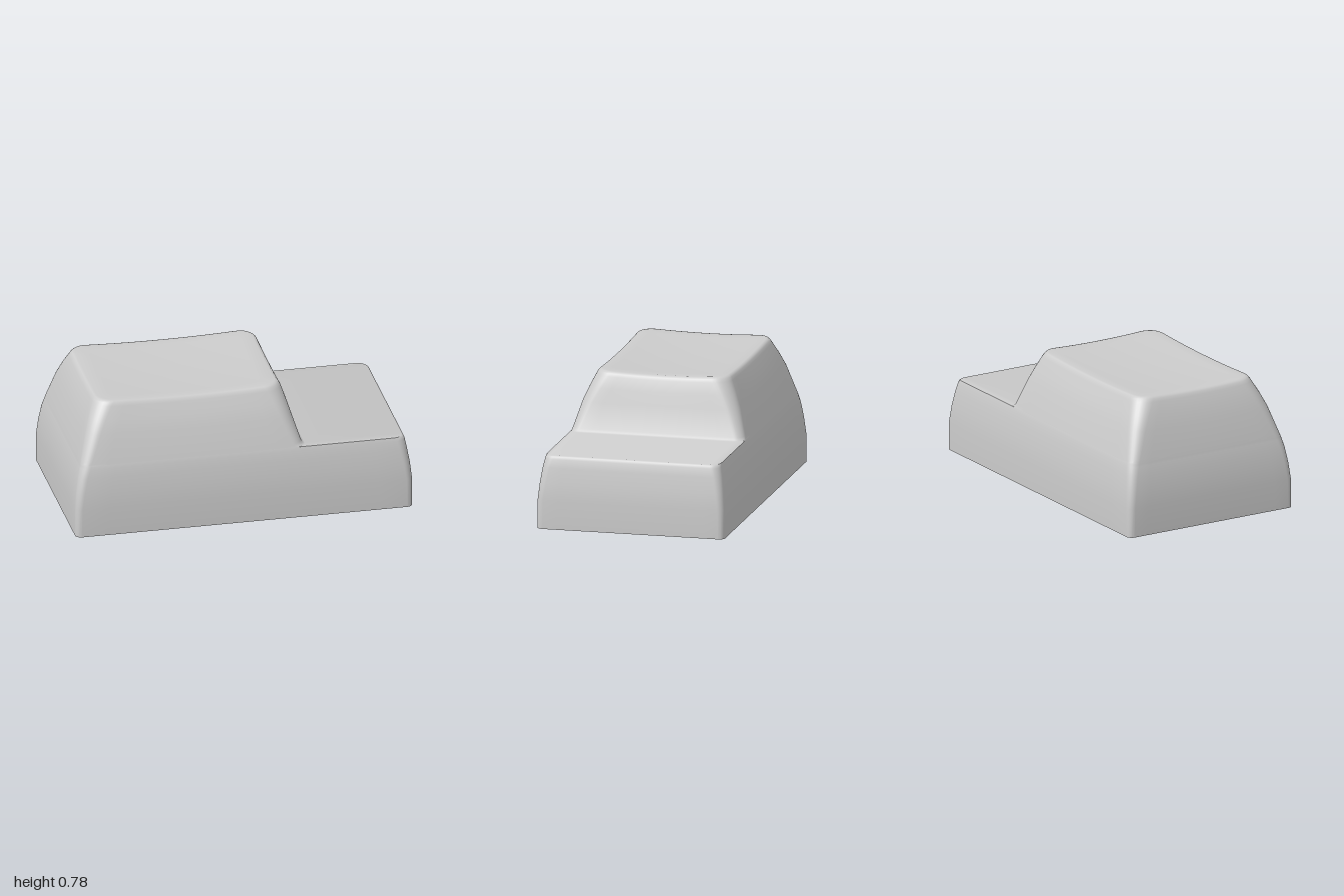
import * as THREE from 'three';
import { toCreasedNormals } from 'three/addons/utils/BufferGeometryUtils.js';

const SHELF_Y = 0.43, TOP_Y = 0.78, TOP_X = -0.293;
const ARC = 8, SIDE = 12; // segments per corner and per straight side

// Horizontal cross-sections: height, left x, right x, half depth, corner radius
const SECTIONS = [
  [0, -1, 1, 0.56, 0.035],
  [0.17, -1, 1, 0.56, 0.04],
  [0.27, -0.99, 0.99, 0.55, 0.045],
  [0.36, -0.975, 0.975, 0.537, 0.05],
  [0.41, -0.962, 0.966, 0.526, 0.055],
  [0.424, -0.958, 0.96, 0.522, 0.055],
  [SHELF_Y, -0.957, 0.95, 0.52, 0.055], // outer edge of the shelf
  [SHELF_Y, -0.957, 0.375, 0.52, 0.055], // foot of the raised block
  [0.437, -0.955, 0.362, 0.518, 0.056],
  [0.45, -0.952, 0.355, 0.514, 0.058],
  [0.6, -0.91, 0.31, 0.47, 0.075],
  [0.68, -0.882, 0.287, 0.437, 0.085],
  [0.75, -0.852, 0.265, 0.405, 0.095],
  [0.767, -0.843, 0.257, 0.397, 0.097],
  [0.777, -0.833, 0.247, 0.388, 0.095],
  [TOP_Y, -0.82, 0.235, 0.375, 0.09],
];

// The top is dished in both directions; the sag fades out down the sides
function sag(x, y, z) {
  const t = THREE.MathUtils.clamp((y - SHELF_Y) / (TOP_Y - SHELF_Y), 0, 1);
  const u = Math.min(1, Math.abs(x - TOP_X) / 0.53);
  const v = Math.min(1, Math.abs(z) / 0.375);
  return t * t * (0.015 * (1 - u * u) + 0.012 * (1 - v * v));
}

// Rounded rectangle at one height, shrunk about its centre for the caps
function ring([y, left, right, hz, r], scale = 1) {
  const cx = (left + right) / 2, hx = (right - left) / 2;
  const signs = [[1, 1], [-1, 1], [-1, -1], [1, -1]];
  const outline = [];
  signs.forEach(([sx, sz], k) => {
    for (let i = 0; i <= ARC; i++) {
      const a = (k + i / ARC) * Math.PI / 2;
      outline.push(new THREE.Vector2(sx * (hx - r) + r * Math.cos(a), sz * (hz - r) + r * Math.sin(a)));
    }
    const [nx, nz] = signs[(k + 1) % 4];
    const a = (k + 1) * Math.PI / 2;
    const from = outline[outline.length - 1];
    const to = new THREE.Vector2(nx * (hx - r) + r * Math.cos(a), nz * (hz - r) + r * Math.sin(a));
    for (let i = 1; i < SIDE; i++) outline.push(from.clone().lerp(to, i / SIDE));
  });
  return outline.map((p) => {
    const x = cx + p.x * scale, z = p.y * scale;
    return new THREE.Vector3(x, y - sag(x, y, z), z);
  });
}

// Skin a stack of rings, dropping triangles without area
function loft(rings) {
  const pos = [];
  const tri = (a, b, c) => {
    const n = b.clone().sub(a).cross(c.clone().sub(a));
    if (n.length() > 1e-8) pos.push(...a.toArray(), ...b.toArray(), ...c.toArray());
  };
  for (let j = 0; j < rings.length - 1; j++) {
    const lo = rings[j], hi = rings[j + 1];
    for (let i = 0; i < lo.length; i++) {
      const n = (i + 1) % lo.length;
      tri(lo[i], hi[i], lo[n]);
      tri(lo[n], hi[i], hi[n]);
    }
  }
  const g = new THREE.BufferGeometry();
  g.setAttribute('position', new THREE.Float32BufferAttribute(pos, 3));
  return toCreasedNormals(g, 0.65);
}

export function createModel() {
  const group = new THREE.Group();
  group.name = 'steppedKeycap';

  // Flat underside, curved walls, shelf, raised block and dished top in one skin
  const last = SECTIONS[SECTIONS.length - 1];
  const rings = [
    ring(SECTIONS[0], 0),
    ...SECTIONS.map((s) => ring(s)),
    ...[0.85, 0.68, 0.5, 0.33, 0.16, 0].map((s) => ring(last, s)),
  ];
  const body = new THREE.Mesh(loft(rings), new THREE.MeshStandardMaterial({ color: 0xcccccc }));
  body.name = 'keycapBody';
  group.add(body);
  return group;
}
